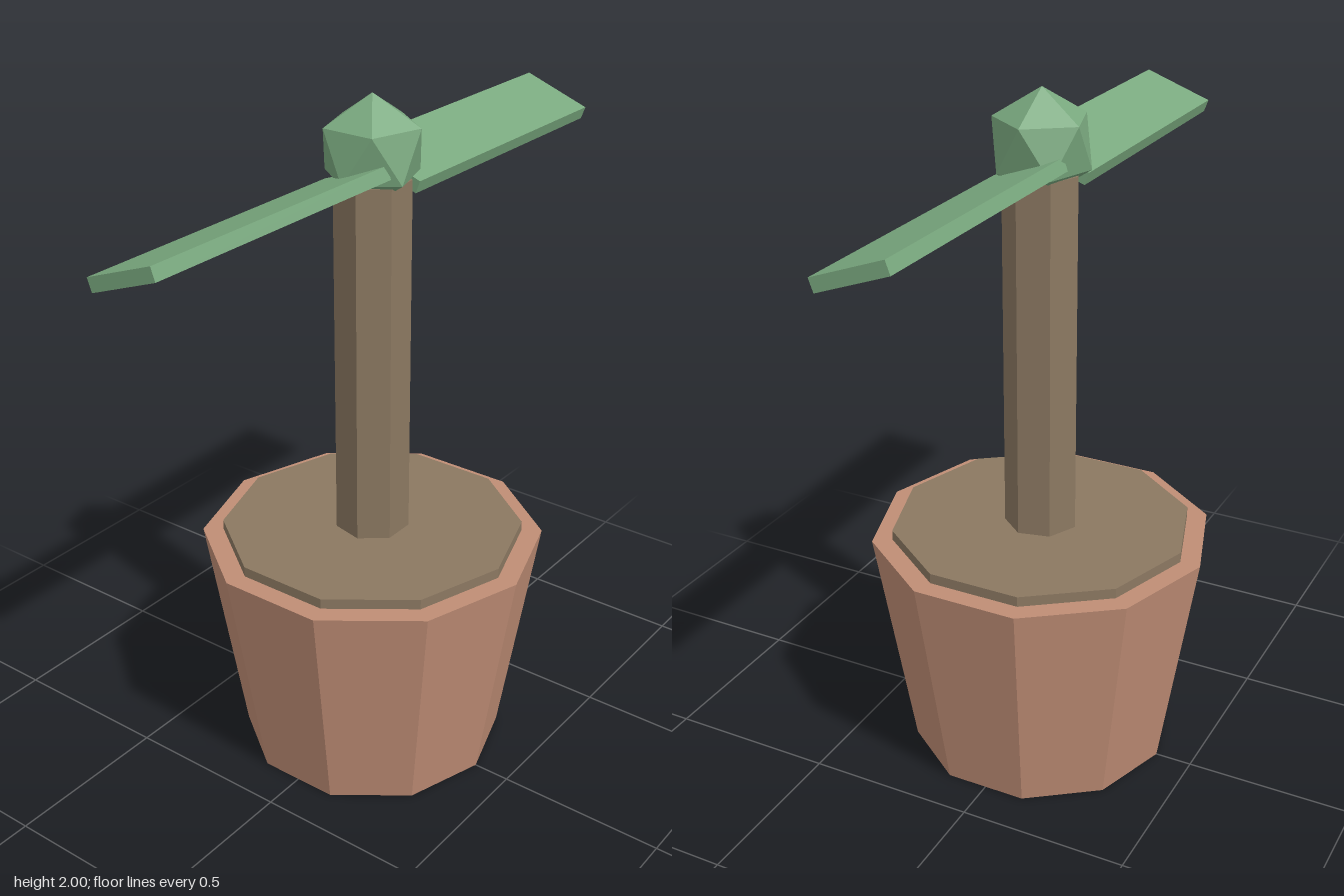
import * as THREE from 'three';

export function createModel() {
  const model = new THREE.Group();
  model.name = 'pottedSprout';

  const material = (name, color) => {
    const m = new THREE.MeshStandardMaterial({ color, flatShading: true });
    m.name = name;
    return m;
  };
  const clay = material('clay', 0xbf8d75);
  const bark = material('earthBrown', 0x8b7861);
  const green = material('leafGreen', 0x7aa97f);

  const add = (name, geometry, mat, x, y, z) => {
    const mesh = new THREE.Mesh(geometry, mat);
    mesh.name = name;
    mesh.position.set(x, y, z);
    model.add(mesh);
    return mesh;
  };
  // Faceted cylinder standing between two heights
  const column = (name, mat, rTop, rBottom, y0, y1, sides) =>
    add(name, new THREE.CylinderGeometry(rTop, rBottom, y1 - y0, sides), mat, 0, (y0 + y1) / 2, 0);

  // Tapered ten-sided pot with raised soil
  column('pot', clay, 0.5, 0.39, 0, 0.69, 10);
  column('soil', bark, 0.44, 0.44, 0.64, 0.72, 10);

  // Seven-sided stem, a corner to the back
  column('stem', bark, 0.108, 0.108, 0.7, 1.772, 7).rotation.y = Math.PI;

  // Twenty-faced bud standing on a corner
  const budGeometry = new THREE.IcosahedronGeometry(0.15, 0);
  budGeometry.rotateZ(-Math.atan(2 / (1 + Math.sqrt(5))));
  add('bud', budGeometry, green, 0, 1.85, 0);

  // Two flat leaves, pitched in opposite directions
  for (const side of [1, -1]) {
    const leaf = add(side > 0 ? 'leftLeaf' : 'rightLeaf',
      new THREE.BoxGeometry(0.87, 0.038, 0.216), green, side * 0.5, 1.785, 0);
    leaf.rotation.x = side * 0.35;
  }

  return model;
}
